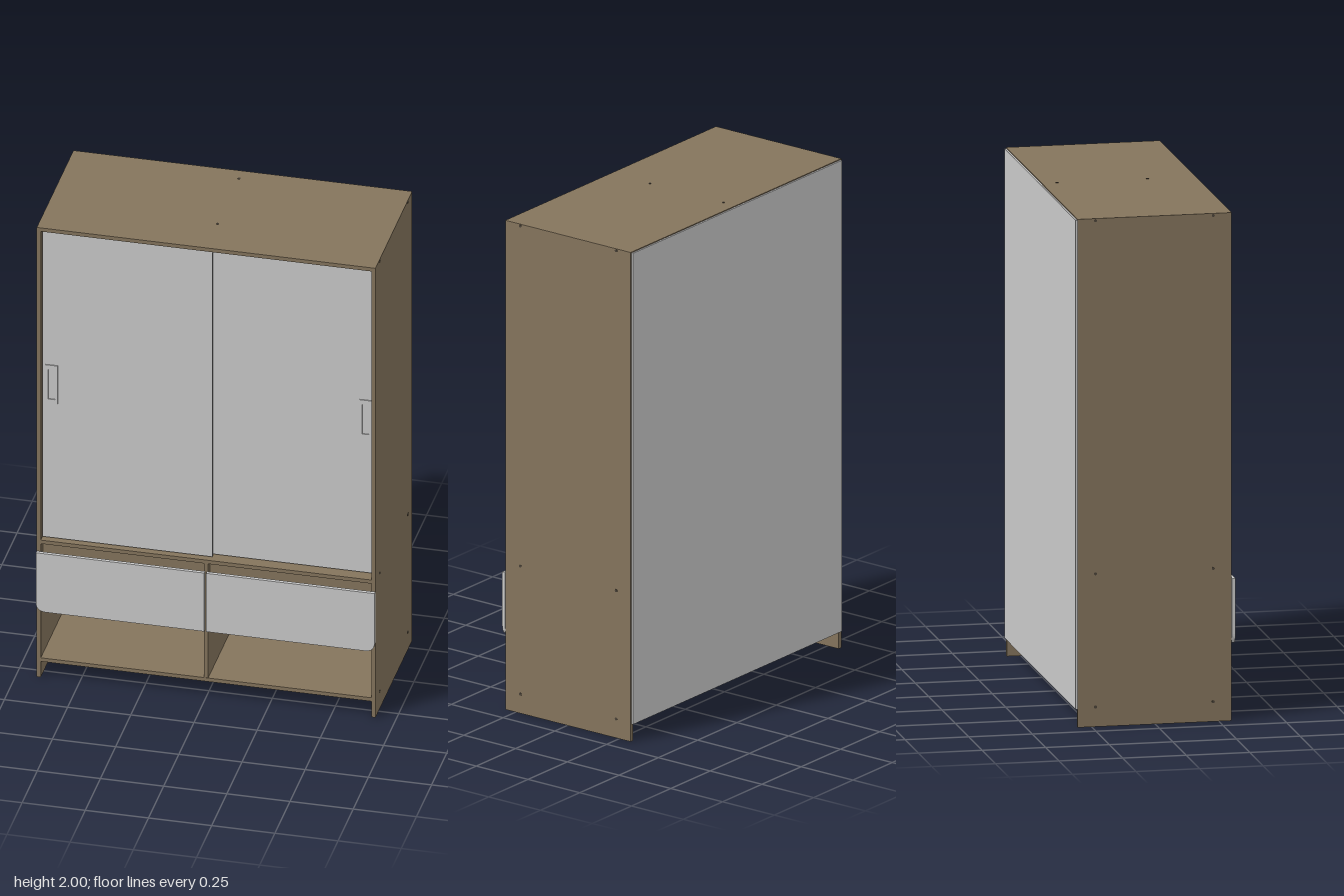
import * as THREE from 'three';

export function createModel() {
  const model = new THREE.Group();
  model.name = 'wardrobe';
  const mat = (name, color) => {
    const m = new THREE.MeshStandardMaterial({ color });
    m.name = name;
    return m;
  };
  const wood = mat('brown wood', 0x84745c);
  const panel = mat('light grey panel', 0xcacaca);
  const metal = mat('dark screw', 0x4a4238);

  const W = 0.67, T = 0.016, IN = W - T, BACK = -0.305, FRONT = 0.3;

  const add = (name, geometry, material, parent = model) => {
    const mesh = new THREE.Mesh(geometry, material);
    mesh.name = name;
    parent.add(mesh);
    return mesh;
  };
  // Box given by its limits on each axis
  const box = (name, material, [x0, x1], [y0, y1], [z0, z1], parent) => {
    const mesh = add(name, new THREE.BoxGeometry(x1 - x0, y1 - y0, z1 - z0), material, parent);
    mesh.position.set((x0 + x1) / 2, (y0 + y1) / 2, (z0 + z1) / 2);
    return mesh;
  };

  // Carcass
  box('leftSide', wood, [IN, W], [0, 2], [BACK, FRONT]);
  box('rightSide', wood, [-W, -IN], [0, 2], [BACK, FRONT]);
  box('topPanel', wood, [-IN, IN], [2 - T, 2], [BACK, FRONT]);
  box('middleShelf', wood, [-IN, IN], [0.594, 0.61], [BACK, FRONT]);
  box('bottomPanel', wood, [-IN, IN], [0.07, 0.086], [BACK, FRONT]);
  box('lowerDivider', wood, [-T / 2, T / 2], [0.086, 0.594], [BACK, FRONT - 0.002]);
  box('upperDivider', wood, [-T / 2, T / 2], [0.61, 2 - T], [BACK, 0.2]);
  box('backPanel', panel, [-W + 0.006, W - 0.006], [0.07, 1.996], [-0.312, BACK]);

  // Recessed plinth rails under the bottom panel
  for (const [name, z] of [['frontPlinth', 0.17], ['backPlinth', -0.14]])
    box(name, wood, [-IN, IN], [0, 0.07], [z - T / 2, z + T / 2]);

  // Sliding doors on two tracks, each with a raised handle frame
  const handleFrame = () => {
    const s = new THREE.Shape();
    const hole = new THREE.Path();
    const rect = (p, w, h) => p.moveTo(-w, -h).lineTo(w, -h).lineTo(w, h).lineTo(-w, h).closePath();
    rect(s, 0.024, 0.085);
    rect(hole, 0.013, 0.066);
    s.holes.push(hole);
    return new THREE.ExtrudeGeometry(s, { depth: 0.004, bevelEnabled: false });
  };
  const door = (name, x0, x1, z, handleX) => {
    const g = new THREE.Group();
    g.name = name;
    model.add(g);
    box('doorPanel', panel, [x0, x1], [0.617, 1.98], [z - 0.015, z], g);
    add('handleFrame', handleFrame(), panel, g).position.set(handleX, 1.3, z);
  };
  door('rightDoor', -IN + 0.002, 0.02, 0.282, -0.615);
  door('leftDoor', -0.02, IN - 0.002, 0.26, 0.622);

  // Drawers: overlay front with one rounded lower corner, and a box behind
  for (const s of [1, -1]) {
    const g = new THREE.Group();
    g.name = s > 0 ? 'leftDrawer' : 'rightDrawer';
    model.add(g);
    const r = 0.04, y0 = 0.3, y1 = 0.56;
    const shape = new THREE.Shape();
    shape.moveTo(s * 0.004, y0);
    shape.lineTo(s * (W - r), y0);
    shape.quadraticCurveTo(s * W, y0, s * W, y0 + r);
    shape.lineTo(s * W, y1);
    shape.lineTo(s * 0.004, y1);
    add('drawerFront', new THREE.ExtrudeGeometry(shape, { depth: 0.014, bevelEnabled: false, curveSegments: 8 }), panel, g)
      .position.z = FRONT + 0.001;
    const span = (a, b) => (s > 0 ? [a, b] : [-b, -a]);
    box('drawerInnerSide', wood, span(0.02, 0.032), [0.325, 0.5], [-0.25, FRONT], g);
    box('drawerOuterSide', wood, span(0.63, 0.642), [0.325, 0.5], [-0.25, FRONT], g);
    box('drawerBack', wood, span(0.032, 0.63), [0.325, 0.5], [-0.25, -0.238], g);
    box('drawerBottom', wood, span(0.032, 0.63), [0.325, 0.333], [-0.238, FRONT], g);
    // Rail under the middle shelf
    box('drawerRail', wood, span(T / 2, IN), [0.53, 0.594], [0.25, 0.266]);
  }

  // Screw heads on the sides and the top
  const screw = new THREE.CylinderGeometry(0.006, 0.006, 0.002, 12);
  for (const s of [1, -1])
    for (const y of [0.078, 0.602, 1.992])
      for (const z of [0.228, -0.235]) {
        const m = add('sideScrew', screw, metal);
        m.rotation.z = Math.PI / 2;
        m.position.set(s * W, y, z);
      }
  for (const z of [0.11, -0.245]) add('topScrew', screw, metal).position.set(0, 2, z);

  return model;
}
